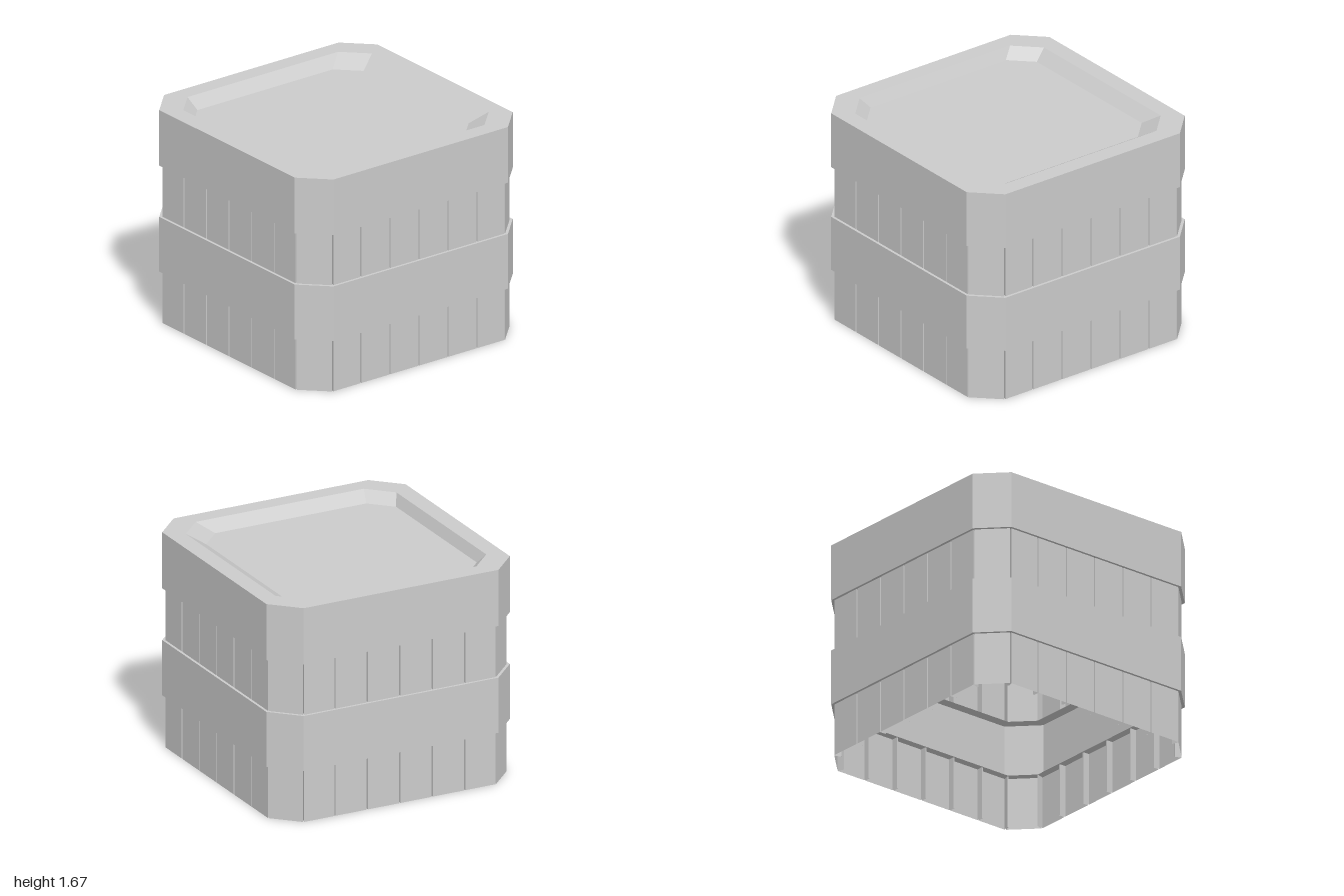
import * as THREE from 'three';

const material = new THREE.MeshStandardMaterial({ color: 0xcccccc, flatShading: true, side: THREE.DoubleSide });

// Repeat one side's [x, z] points around the four sides of the block
function fourSides(side) {
  const loop = [];
  let pts = side;
  for (let i = 0; i < 4; i++) {
    loop.push(...pts);
    pts = pts.map(([x, z]) => [z, -x]);
  }
  return loop;
}

// Square with cut corners
const octagon = (half, corner) => fourSides([[-corner, half], [corner, half]]);

// Skin a stack of loops, each given as [points, y]
function loft(levels) {
  const pos = [];
  for (let k = 0; k < levels.length - 1; k++) {
    const [lo, y0] = levels[k];
    const [hi, y1] = levels[k + 1];
    for (let i = 0; i < lo.length; i++) {
      const j = (i + 1) % lo.length;
      const a = [lo[i][0], y0, lo[i][1]];
      const b = [lo[j][0], y0, lo[j][1]];
      const c = [hi[j][0], y1, hi[j][1]];
      const d = [hi[i][0], y1, hi[i][1]];
      pos.push(...a, ...b, ...c, ...a, ...c, ...d);
    }
  }
  const geo = new THREE.BufferGeometry();
  geo.setAttribute('position', new THREE.Float32BufferAttribute(pos, 3));
  geo.computeVertexNormals();
  return geo;
}

// Panelled wall outline: narrow grooves between panels and at each corner
function panelOutline() {
  const face = 0.98, deep = 0.93, end = 0.785, gap = 0.005, panels = 6;
  const side = [[-end, face]];
  for (let i = 1; i < panels; i++) {
    const x = -0.8 + (1.6 * i) / panels;
    side.push([x - gap, face], [x - gap, deep], [x + gap, deep], [x + gap, face]);
  }
  side.push([end, face]);
  // corner groove, then the cut corner panel, then the next corner groove
  side.push([end - 0.015, deep], [end - 0.007, deep - 0.003], [0.794, 0.976]);
  side.push([0.976, 0.794], [deep - 0.003, end - 0.007], [deep, end - 0.015]);
  return fourSides(side);
}

export function createModel() {
  const group = new THREE.Group();
  const add = (name, geo) => {
    const mesh = new THREE.Mesh(geo, material);
    mesh.name = name;
    group.add(mesh);
  };

  const outer = octagon(1, 0.8);
  const lip = octagon(0.92, 0.767);
  const panels = panelOutline();

  // Two recessed panelled storeys, open underneath
  add('lowerPanelWall', loft([[panels, 0], [panels, 0.405]]));
  add('upperPanelWall', loft([[panels, 0.835], [panels, 1.238]]));

  // Plain band between the storeys, with ledges turned inward
  add('middleBand', loft([[lip, 0.405], [outer, 0.405], [outer, 0.835], [lip, 0.835]]));

  // Top band, flat rim and sloping sides of the roof recess
  const rim = octagon(0.865, 0.69);
  const floor = octagon(0.78, 0.62).map(([x, z]) => [x, z + 0.045]);
  const roofY = 1.595;
  add('topBand', loft([[lip, 1.238], [outer, 1.238], [outer, 1.675], [rim, 1.675]]));
  add('roofRecess', loft([[rim, 1.675], [floor, roofY]]));

  // Roof floor
  const shape = new THREE.Shape(floor.map(([x, z]) => new THREE.Vector2(x, -z)));
  add('roofFloor', new THREE.ShapeGeometry(shape).rotateX(-Math.PI / 2).translate(0, roofY, 0));

  return group;
}
